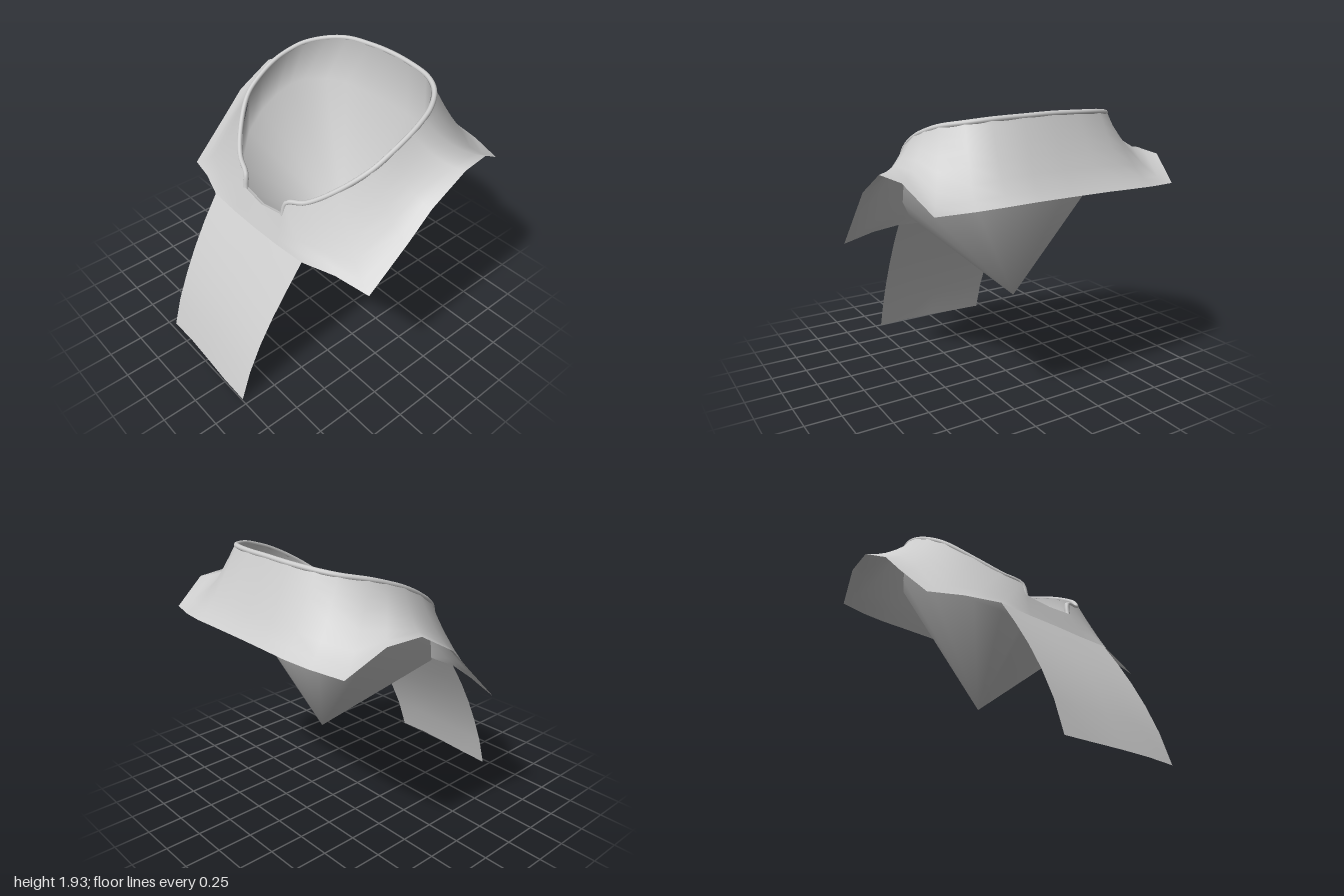
import * as THREE from 'three';
import { mergeVertices } from 'three/addons/utils/BufferGeometryUtils.js';

const cloth = new THREE.MeshStandardMaterial({ color: 0xcccccc, side: THREE.DoubleSide });
cloth.name = 'light grey cloth';

// Half of the garment, back centre to front centre:
// neckline point, hem point, drape exponent, height of the lining's lower ring
const half = [
  [[0, 1.93, -0.75], [0, 1.46, -0.995], 1.3, 1.52],
  [[0.2, 1.925, -0.74], [0.25, 1.46, -0.997], 1.3, 1.52],
  [[0.4, 1.915, -0.70], [0.46, 1.455, -0.993], 1.35, 1.53],
  [[0.53, 1.895, -0.62], [0.65, 1.445, -0.965], 1.45, 1.54],
  [[0.63, 1.865, -0.48], [0.88, 1.43, -0.90], 1.6, 1.55],
  [[0.665, 1.83, -0.37], [0.96, 1.585, -0.66], 2, 1.53],
  [[0.682, 1.785, -0.25], [0.995, 1.595, -0.42], 2, 1.48],
  [[0.675, 1.71, -0.10], [0.993, 1.435, -0.14], 1.8, 1.4],
  [[0.64, 1.615, 0.05], [0.985, 1.255, 0.04], 1.6, 1.29],
  [[0.51, 1.465, 0.22], [0.965, 0.975, 0.335], 1.4, 1.13],
  [[0.36, 1.35, 0.34], [0.72, 1.01, 0.40], 1.3, 1.05],
  [[0.225, 1.3, 0.395], [0.487, 1.01, 0.48], 1.15, 1.0],
  [[0.205, 1.2, 0.415], [0.24, 1.0, 0.488], 1, 0.985],
  [[0, 1.175, 0.43], [0, 1.0, 0.492], 1, 0.98],
];
const flip = ([x, y, z]) => [-x, y, z];
const columns = [
  ...half,
  ...half.slice(1, -1).reverse().map(([r, h, e, l]) => [flip(r), flip(h), e, l]),
];

// Smooth surface through rows of points; closed rows wrap around
function surface(name, rows, closed) {
  const n = rows[0].length, index = [];
  for (let i = 0; i < rows.length - 1; i++) {
    for (let j = 0; j < (closed ? n : n - 1); j++) {
      const k = (j + 1) % n;
      const a = i * n + j, b = (i + 1) * n + j, c = i * n + k, d = (i + 1) * n + k;
      index.push(a, c, b, b, c, d);
    }
  }
  const g = new THREE.BufferGeometry();
  g.setAttribute('position', new THREE.Float32BufferAttribute(rows.flat(2), 3));
  g.setIndex(index);
  const merged = mergeVertices(g);
  merged.computeVertexNormals();
  const m = new THREE.Mesh(merged, cloth);
  m.name = name;
  return m;
}

// Moves a neckline point towards the middle of the opening
function inset([x, y, z], d, drop) {
  const dz = z + 0.2, l = Math.hypot(x, dz);
  return [x - (x / l) * d, y - drop, z - (dz / l) * d];
}

export function createModel() {
  const group = new THREE.Group();
  group.name = 'collarDrape';

  // Shoulder cloth, falling steeply at the collar and flattening to the hem
  const steps = [0, 0.06, 0.14, 0.25, 0.4, 0.6, 0.8, 1];
  group.add(surface('shoulderCloth', steps.map((t) => columns.map(([rim, hem, e]) => [
    rim[0] + (hem[0] - rim[0]) * t,
    rim[1] + (hem[1] - rim[1]) * (1 - (1 - t) ** e),
    rim[2] + (hem[2] - rim[2]) * t,
  ])), true));

  // Long front panel, hung from the front hem and slightly twisted towards the bottom
  const top = columns.slice(11, 16).map(([, hem]) => hem);
  const drop = [[0.83, 0.48, 0.60, 0.001], [0.64, 0.47, 0.715, 0.004],
    [0.45, 0.462, 0.815, 0.008], [0.24, 0.457, 0.907, 0.011], [0.01, 0.455, 0.98, 0.015]];
  group.add(surface('frontPanel', [top, ...drop.map(([y, w, z, twist]) =>
    [1, 0.5, 0, -0.5, -1].map((s) =>
      [s * w, y + twist * 0.6 * (1 - s * s), z + twist * Math.sin(s * 2)]))], false));

  // Inner lining: a wall under the neckline, then a soft cone to a low point
  const lining = [
    columns.map(([rim]) => inset(rim, 0.025, 0.008)),
    columns.map(([[x, , z], , , low]) => [x, low, z]),
    columns.map(() => [0, 0.63, -0.34]),
  ];
  group.add(surface('innerLining', lining, true));

  // Rolled edge around the neckline, open at the front notch
  const side = half.slice(0, 13).map(([rim]) => inset(rim, 0.01, 0.008));
  const path = [...side.slice(1).reverse().map(flip), ...side];
  const curve = new THREE.CatmullRomCurve3(path.map((p) => new THREE.Vector3(...p)));
  const edge = new THREE.Mesh(new THREE.TubeGeometry(curve, 120, 0.018, 10, false), cloth);
  edge.name = 'rolledEdge';
  group.add(edge);

  return group;
}
